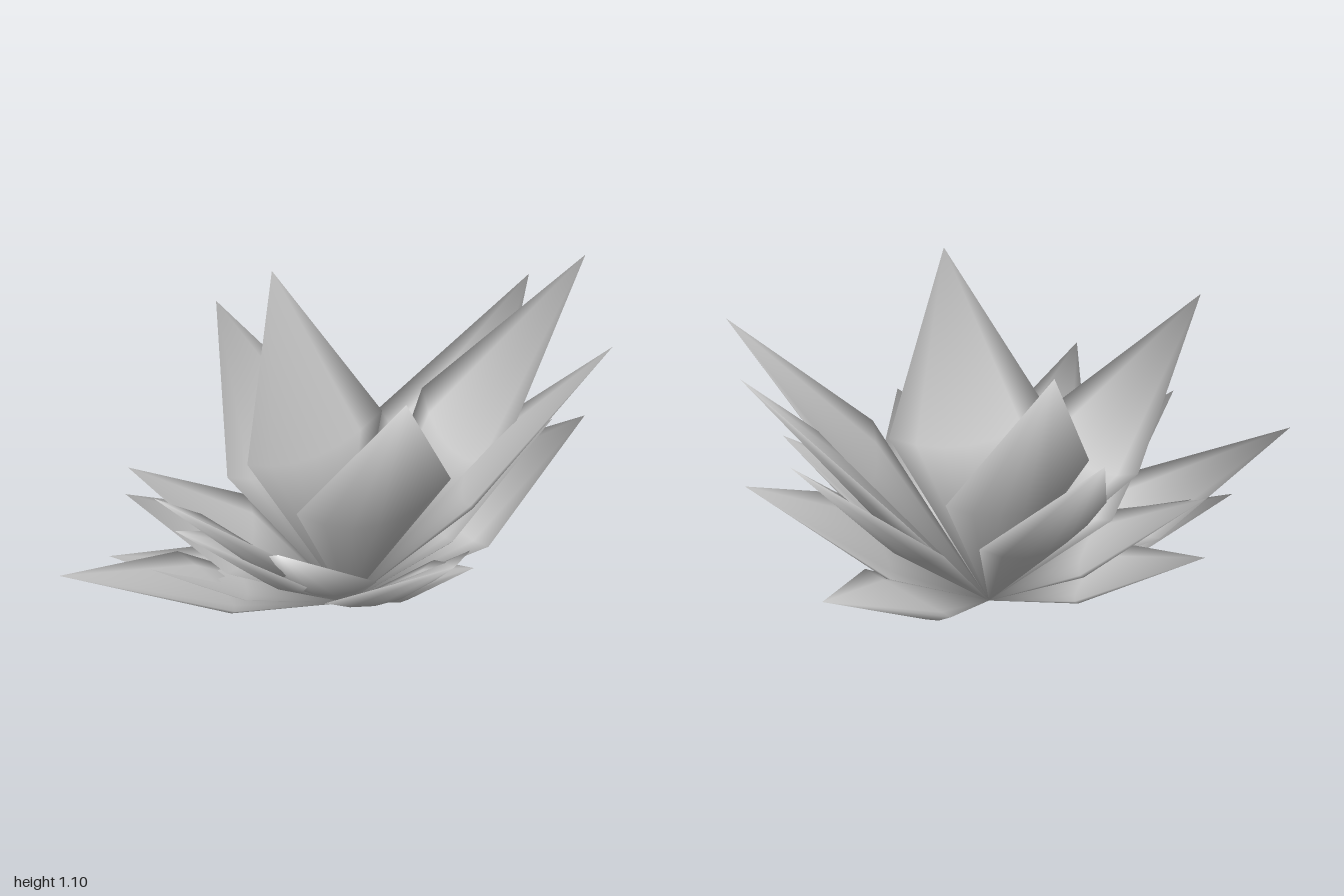
import * as THREE from 'three';

const ROOT = new THREE.Vector3(0.085, 0, 0.012);
const ACROSS = 6; // strips across each face of a leaf

// Tip position and half width of every leaf, by ring
const RINGS = {
  innerLeaf: [
    [0.995, 1.1, 0.012, 0.265], [0.845, 1.04, 0.47, 0.22], [0.03, 1.09, 0.515, 0.28],
    [0.03, 1.1, -0.41, 0.28], [0.93, 0.89, -0.26, 0.25], [-0.05, 0.87, -0.65, 0.26],
    [-0.8, 0.84, 0.27, 0.25],
  ],
  middleLeaf: [
    [0.14, 0.485, 0.65, 0.295], [-0.44, 0.62, 0.48, 0.22], [0.91, 0.57, 0.16, 0.28],
    [-0.64, 0.58, 0.13, 0.22], [-0.52, 0.49, -0.41, 0.21], [0.73, 0.67, 0.26, 0.22],
  ],
  outerLeaf: [
    [-1, 0.43, -0.02, 0.21], [-0.48, 0.32, -0.5, 0.2], [-0.72, 0.33, -0.18, 0.18],
    [0.805, 0.32, -0.245, 0.21], [0.28, 0.37, 0.53, 0.14],
  ],
};

// Closed fleshy leaf: root point, one flattened ring at the shoulders, pointed tip.
// Shared points give smooth normals that turn outward along the leaf at both ends.
function leafGeometry(tip, halfWidth) {
  const axis = tip.clone().sub(ROOT);
  const side = new THREE.Vector3(axis.z, 0, -axis.x).normalize();
  const inward = new THREE.Vector3().crossVectors(axis, side).normalize();

  const points = [ROOT, tip];
  const index = [];
  const count = 2 * ACROSS;
  for (let i = 0; i < count; i++) {
    // Inner face from left to right, then outer face back again
    const inner = i < ACROSS;
    const u = inner ? (2 * i) / ACROSS - 1 : 3 - (2 * i) / ACROSS;
    const middle = inner ? 0.01 : -0.045;
    points.push(ROOT.clone()
      .addScaledVector(axis, 0.44 + 0.06 * u * u)
      .addScaledVector(side, halfWidth * u)
      .addScaledVector(inward, middle + (0.03 - middle) * u * u));
    const a = i + 2;
    const b = ((i + 1) % count) + 2;
    index.push(0, a, b, 1, b, a);
  }
  const geometry = new THREE.BufferGeometry().setFromPoints(points);
  geometry.setIndex(index);
  geometry.computeVertexNormals();
  return geometry;
}

export function createModel() {
  const group = new THREE.Group();
  group.name = 'leafRosette';
  const leafGrey = new THREE.MeshStandardMaterial({ color: 0xcccccc });
  leafGrey.name = 'leafGrey';

  for (const [name, leaves] of Object.entries(RINGS)) {
    leaves.forEach(([x, y, z, halfWidth], i) => {
      const leaf = new THREE.Mesh(leafGeometry(new THREE.Vector3(x, y, z), halfWidth), leafGrey);
      leaf.name = name + (i + 1);
      group.add(leaf);
    });
  }
  return group;
}
